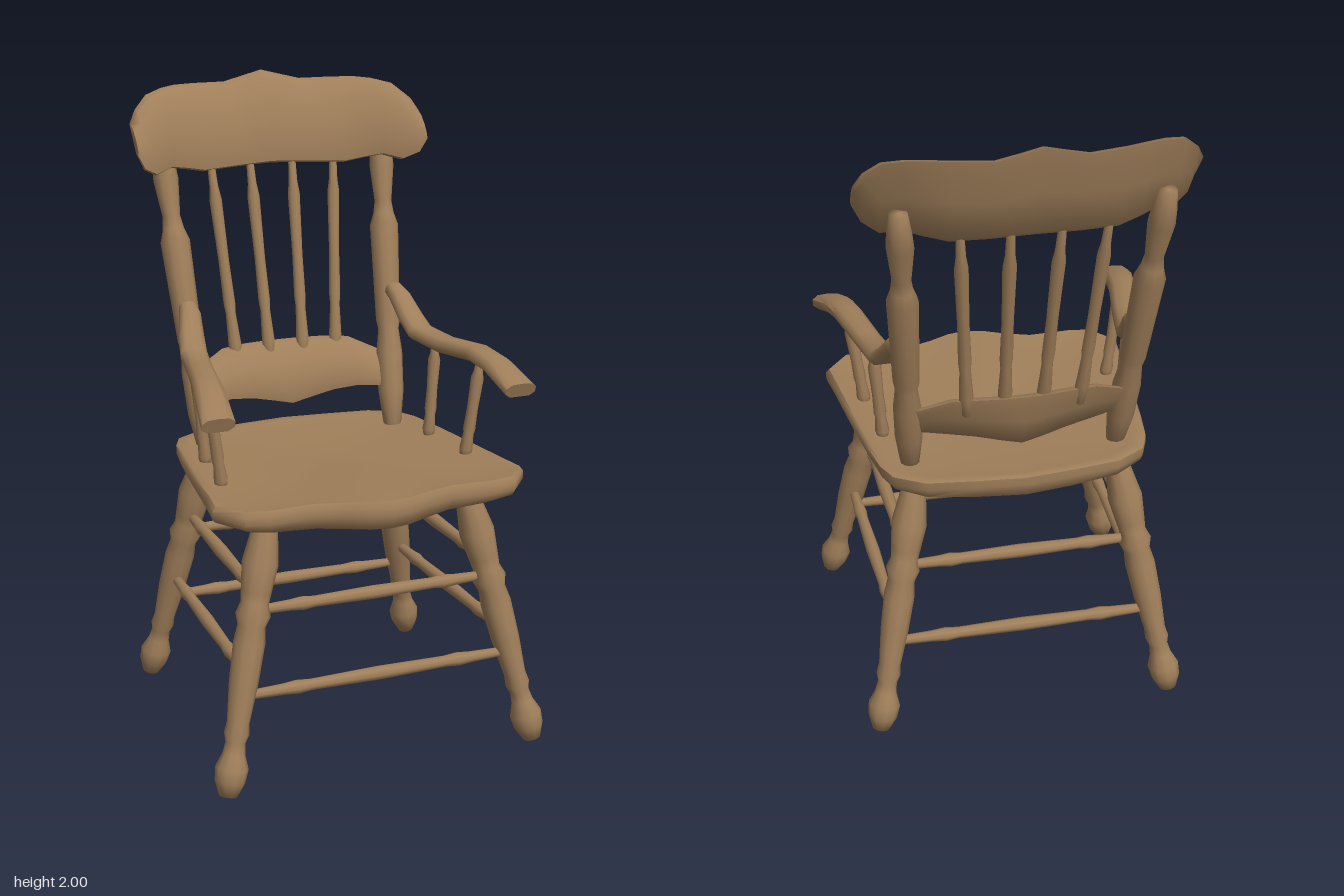
import * as THREE from 'three';
import { toCreasedNormals } from 'three/addons/utils/BufferGeometryUtils.js';

const V = (x, y, z) => new THREE.Vector3(x, y, z);

// Skin a list of rings (each counter-clockwise about the advance direction) and cap both ends
function loft(rings, crease = 0.9) {
  const n = rings[0].length, pos = [], idx = [];
  rings.forEach(r => r.forEach(p => pos.push(p.x, p.y, p.z)));
  for (let i = 0; i < rings.length - 1; i++) {
    for (let j = 0; j < n; j++) {
      const k = (j + 1) % n;
      const a = i * n + j, b = i * n + k, c = b + n, d = a + n;
      idx.push(a, b, c, a, c, d);
    }
  }
  [[0, true], [rings.length - 1, false]].forEach(([i, flip]) => {
    const c = rings[i].reduce((s, p) => s.add(p), V(0, 0, 0)).divideScalar(n);
    const ci = pos.length / 3;
    pos.push(c.x, c.y, c.z);
    for (let j = 0; j < n; j++) {
      const a = i * n + j, b = i * n + (j + 1) % n;
      if (flip) idx.push(ci, b, a); else idx.push(ci, a, b);
    }
  });
  const g = new THREE.BufferGeometry();
  g.setAttribute('position', new THREE.Float32BufferAttribute(pos, 3));
  g.setIndex(idx);
  return toCreasedNormals(g, crease);
}

// Piecewise linear lookup in a table of rows [x, value, value...]
function lookup(table, x, col) {
  for (let i = 1; i < table.length; i++) {
    const a = table[i - 1], b = table[i];
    if (x <= b[0]) return a[col] + (b[col] - a[col]) * (x - a[0]) / (b[0] - a[0]);
  }
  return table[table.length - 1][col];
}

// Turned profiles: [fraction of length, radius], bottom to top
const LEG = [[0, 0], [0, 0.028], [0.05, 0.046], [0.1, 0.05], [0.15, 0.034], [0.19, 0.03], [0.22, 0.038], [0.26, 0.034],
  [0.4, 0.044], [0.54, 0.048], [0.6, 0.042], [0.64, 0.053], [0.68, 0.042], [0.72, 0.046], [0.82, 0.055], [0.95, 0.038], [1, 0.036], [1, 0]];
const POST = [[0, 0], [0, 0.028], [0.12, 0.042], [0.25, 0.043], [0.33, 0.034], [0.36, 0.04], [0.5, 0.043], [0.68, 0.047],
  [0.72, 0.034], [0.76, 0.028], [0.88, 0.04], [0.93, 0.036], [1, 0.026], [1, 0]];
const SPINDLE = [[0, 0], [0, 0.015], [0.1, 0.022], [0.25, 0.017], [0.3, 0.02], [0.5, 0.018], [0.8, 0.021], [0.86, 0.015], [1, 0.012], [1, 0]];
const STRETCHER = [[0, 0], [0, 0.014], [0.15, 0.018], [0.2, 0.022], [0.25, 0.018], [0.5, 0.022], [0.75, 0.018], [0.8, 0.022], [0.85, 0.018], [1, 0.014], [1, 0]];

// Crest and lumbar rail: [x, bottom, top, forward bend, thickness factor]
const CREST = [[0, 1.71, 2, 0, 1], [0.06, 1.708, 1.985, 0.002, 1], [0.13, 1.705, 1.968, 0.007, 1], [0.24, 1.7, 1.97, 0.025, 1],
  [0.31, 1.715, 1.97, 0.045, 1], [0.36, 1.725, 1.965, 0.068, 1], [0.42, 1.71, 1.95, 0.1, 0.95], [0.465, 1.735, 1.91, 0.128, 0.85], [0.488, 1.78, 1.87, 0.14, 0.6]];
const LUMBAR = [[0, 0.94, 1.14, 0, 1], [0.06, 0.955, 1.14, 0.002, 1], [0.14, 0.975, 1.14, 0.01, 0.95], [0.22, 0.985, 1.135, 0.024, 0.85], [0.32, 0.985, 1.09, 0.06, 0.6]];

// Cross-section of a back board: [height fraction, depth offset], top to front to bottom to back
const BOARD = [[1, -0.03], [0.97, -0.002], [0.8, 0.022], [0.5, 0.034], [0.2, 0.03], [0.03, 0.016], [0, -0.008], [0.06, -0.026], [0.5, -0.03], [0.85, -0.033]];

function backBoard(table, z, lean) {
  const xs = [...table.slice(1).map(r => -r[0]).reverse(), ...table.map(r => r[0])];
  return loft(xs.map(x => {
    const [, lo, hi, bend, thick] = table.find(r => r[0] === Math.abs(x));
    return BOARD.map(([v, d]) => V(x, lo + (hi - lo) * v, z + bend - lean * (v - 0.5) + d * thick));
  }));
}

// Saddle seat: rings grow up the edge, then shrink inwards across the dished top
function seatGeometry() {
  const half = [[0, 0.56], [0.06, 0.55], [0.13, 0.52], [0.22, 0.49], [0.36, 0.495], [0.43, 0.485], [0.5, 0.4], [0.487, 0.3],
    [0.465, 0.1], [0.44, -0.1], [0.42, -0.22], [0.39, -0.29], [0.3, -0.345], [0.15, -0.365], [0, -0.38]];
  const outline = [...half, ...half.slice(1, -1).reverse().map(([x, z]) => [-x, z])];
  const ring = (s, height) => outline.map(([x, z]) => {
    const px = x * s, pz = 0.05 + (z - 0.05) * s;
    return V(px, height(px, pz), pz);
  });
  const under = x => 0.79 + 0.12 * x * x;
  const top = s => (x, z) => {
    const pommel = Math.exp(-((x / 0.1) ** 2)) * THREE.MathUtils.clamp(z * 2, 0, 1);
    return 0.878 + 0.015 * z - 0.03 * Math.sqrt(1 - s) * (1 - pommel);
  };
  return loft([
    ring(0.3, under), ring(0.93, under), ring(0.985, x => under(x) + 0.012), ring(1, () => 0.84), ring(1, () => 0.865),
    ...[0.98, 0.92, 0.8, 0.6, 0.4, 0.2, 0.05].map(s => ring(s, top(s)))
  ], 1.0);
}

// Arm rest: a rounded section swept forward from the post to the drooping tip
function armGeometry(side) {
  const path = [[0.355, 1.3, -0.275], [0.36, 1.285, -0.235], [0.375, 1.225, -0.175], [0.385, 1.187, -0.12], [0.41, 1.178, 0.02],
    [0.445, 1.188, 0.18], [0.462, 1.172, 0.28], [0.48, 1.125, 0.405]].map(p => V(p[0] * side, p[1], p[2]));
  const widths = [0.028, 0.034, 0.04, 0.042, 0.04, 0.042, 0.046, 0.05];
  const section = [[1, -0.4], [1, 0.4], [0.65, 0.95], [0, 1.05], [-0.65, 0.95], [-1, 0.4], [-1, -0.4], [-0.65, -0.95], [0.65, -0.95]];
  return loft(path.map((p, i) => {
    const t = path[Math.min(i + 1, path.length - 1)].clone().sub(path[Math.max(i - 1, 0)]);
    const up = V(0, t.z, -t.y).normalize();
    return section.map(([u, v]) => p.clone().add(V(u * widths[i], 0, 0)).addScaledVector(up, v * 0.024));
  }));
}

export function createModel() {
  const wood = new THREE.MeshStandardMaterial({ color: 0xa07f5a });
  wood.name = 'wood';
  const chair = new THREE.Group();
  chair.name = 'armchair';

  const add = (name, geometry) => {
    const m = new THREE.Mesh(geometry, wood);
    m.name = name;
    chair.add(m);
    return m;
  };
  // A lathe-turned bar running from a to b
  const turned = (name, a, b, profile, sides = 10) => {
    const dir = b.clone().sub(a), len = dir.length();
    const m = add(name, new THREE.LatheGeometry(profile.map(([t, r]) => new THREE.Vector2(r, t * len)), sides));
    m.position.copy(a);
    m.quaternion.setFromUnitVectors(V(0, 1, 0), dir.normalize());
  };

  add('seat', seatGeometry());
  add('crestRail', backBoard(CREST, -0.497, 0.07));
  add('lumbarRail', backBoard(LUMBAR, -0.315, 0.055));

  // Leg axes, splayed outwards
  const legEnd = {
    front: { foot: V(0.505, 0.01, 0.51), top: V(0.32, 0.83, 0.36) },
    rear: { foot: V(0.475, 0.01, -0.405), top: V(0.315, 0.83, -0.24) }
  };
  const mirror = (p, s) => V(p.x * s, p.y, p.z);
  const onLeg = (which, y, s) => {
    const { foot, top } = legEnd[which];
    return mirror(foot.clone().lerp(top, (y - foot.y) / (top.y - foot.y)), s);
  };

  for (const s of [-1, 1]) {
    const side = s > 0 ? 'left' : 'right';
    turned(side + 'FrontLeg', mirror(legEnd.front.foot, s), mirror(legEnd.front.top, s), LEG);
    turned(side + 'RearLeg', mirror(legEnd.rear.foot, s), mirror(legEnd.rear.top, s), LEG);
    for (const y of [0.37, 0.6]) turned(side + 'Stretcher', onLeg('rear', y, s), onLeg('front', y, s), STRETCHER, 8);

    // Back post, arm and arm spindles
    turned(side + 'BackPost', V(0.325 * s, 0.85, -0.2), V(0.378 * s, 1.8, -0.452), POST);
    add(side + 'Arm', armGeometry(s));
    turned(side + 'ArmSpindle', V(0.38 * s, 0.85, -0.035), V(0.405 * s, 1.18, -0.045), SPINDLE, 8);
    turned(side + 'ArmSpindle', V(0.402 * s, 0.85, 0.19), V(0.445 * s, 1.18, 0.2), SPINDLE, 8);

    // Back spindles fanning out towards the crest
    for (const [lo, hi] of [[0.058, 0.073], [0.172, 0.212]]) {
      const bend = lookup(CREST, hi, 3);
      turned('backSpindle', V(lo * s, 1.08, -0.33), V(hi * s, 1.74, -0.478 + bend), SPINDLE, 8);
    }
  }

  // Cross stretchers between the front and rear pairs of legs
  for (const which of ['front', 'rear']) {
    for (const y of [0.298, 0.545]) turned(which + 'Stretcher', onLeg(which, y, -1), onLeg(which, y, 1), STRETCHER, 8);
  }
  return chair;
}
